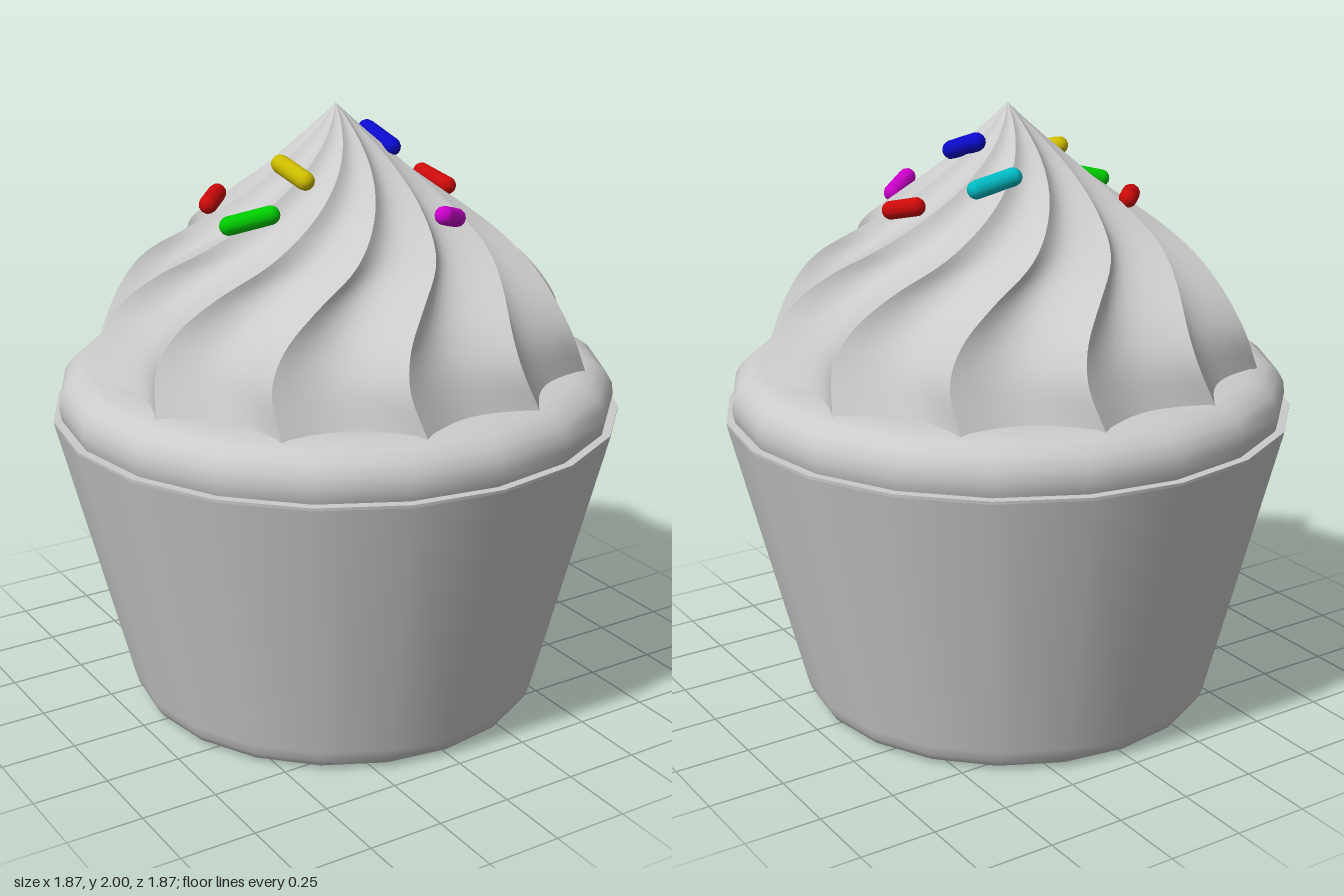
import * as THREE from 'three';
import { mergeGeometries } from 'three/addons/utils/BufferGeometryUtils.js';

const grey = () => new THREE.MeshStandardMaterial({ color: 0xcccccc, side: THREE.DoubleSide });

function lathe(name, points, sides) {
  const geometry = new THREE.LatheGeometry(points.map(([r, y]) => new THREE.Vector2(r, y)), sides);
  const mesh = new THREE.Mesh(geometry, grey());
  mesh.name = name;
  return mesh;
}

// One hollow lobe of the swirl, between two neighbouring ridges
function lobeGeometry(start, step) {
  // ridge radius, height, twist in radians, from the hem to the tip
  const ridge = new THREE.CatmullRomCurve3([
    [0.82, 1.16, 0], [0.775, 1.3, -0.05], [0.715, 1.4, -0.02], [0.625, 1.5, 0.1],
    [0.5, 1.6, 0.32], [0.36, 1.7, 0.52], [0.23, 1.8, 0.72], [0.11, 1.9, 0.92], [0.001, 2, 1.1],
  ].map((p) => new THREE.Vector3(...p)));
  const rows = 40, cols = 10, position = [], index = [];
  for (let i = 0; i <= rows; i++) {
    const p = ridge.getPoint(i / rows);
    const depth = 0.1 + 0.05 * Math.sin(Math.PI * i / rows);
    for (let j = 0; j <= cols; j++) {
      const v = j / cols;
      const r = p.x * (1 - depth * 4 * v * (1 - v));
      const a = start + step * v + p.z;
      position.push(r * Math.sin(a), p.y, r * Math.cos(a));
      if (i < rows && j < cols) {
        const k = i * (cols + 1) + j, up = k + cols + 1;
        index.push(k, k + 1, up, k + 1, up + 1, up);
      }
    }
  }
  const geometry = new THREE.BufferGeometry();
  geometry.setAttribute('position', new THREE.Float32BufferAttribute(position, 3));
  geometry.setIndex(index);
  geometry.computeVertexNormals();
  return geometry;
}

// Rounded stick between two points
function sprinkle(color, from, to) {
  const a = new THREE.Vector3(...from), b = new THREE.Vector3(...to);
  const radius = 0.03, axis = b.clone().sub(a);
  const mesh = new THREE.Mesh(
    new THREE.CapsuleGeometry(radius, axis.length() - radius, 5, 12),
    new THREE.MeshStandardMaterial({ color }),
  );
  mesh.position.copy(a).add(b).multiplyScalar(0.5);
  mesh.quaternion.setFromUnitVectors(new THREE.Vector3(0, 1, 0), axis.normalize());
  mesh.name = 'sprinkle';
  return mesh;
}

export function createModel() {
  const model = new THREE.Group();
  model.name = 'cupcake';

  // Paper cup: rounded foot, flared wall, thin rim
  model.add(lathe('wrapper', [
    [0, 0], [0.62, 0], [0.645, 0.003], [0.675, 0.015], [0.692, 0.04], [0.703, 0.075], [0.934, 1.0],
  ], 20));
  model.add(lathe('wrapperRim', [[0.934, 1.0], [0.935, 1.01]], 20));
  model.add(lathe('wrapperRimTop', [[0.935, 1.01], [0.905, 1.01]], 20));

  // Cake top bulging out of the cup
  model.add(lathe('cakeTop', [
    [0.88, 0.95], [0.907, 1.01], [0.915, 1.05], [0.91, 1.09], [0.89, 1.125],
    [0.855, 1.152], [0.81, 1.166], [0.74, 1.17], [0, 1.17],
  ], 20));

  // Piped frosting: twelve lobes with sharp ridges between them
  const lobes = 12, step = Math.PI * 2 / lobes, lobeParts = [];
  for (let i = 0; i < lobes; i++) lobeParts.push(lobeGeometry(i * step + 0.3, step));
  const frosting = new THREE.Mesh(mergeGeometries(lobeParts), grey());
  frosting.name = 'frostingSwirl';
  model.add(frosting);

  // Sprinkles
  const sprinkles = new THREE.Group();
  sprinkles.name = 'sprinkles';
  [
    [0x00cc00, [-0.47, 1.685, 0.115], [-0.325, 1.72, 0.175]],
    [0xccbb00, [-0.225, 1.84, 0.02], [-0.205, 1.8, 0.17]],
    [0x0a0acc, [0.145, 1.9, -0.06], [0.168, 1.85, 0.085]],
    [0x00bbc4, [0.1, 1.81, -0.205], [0.25, 1.775, -0.185]],
    [0xcc0a0a, [0.38, 1.725, -0.085], [0.41, 1.69, 0.055]],
    [0xcc00cc, [0.12, 1.71, 0.425], [0.235, 1.67, 0.345]],
    [0xcc0a0a, [-0.395, 1.69, -0.135], [-0.29, 1.7, -0.255]],
  ].forEach((s) => sprinkles.add(sprinkle(...s)));
  model.add(sprinkles);

  return model;
}
